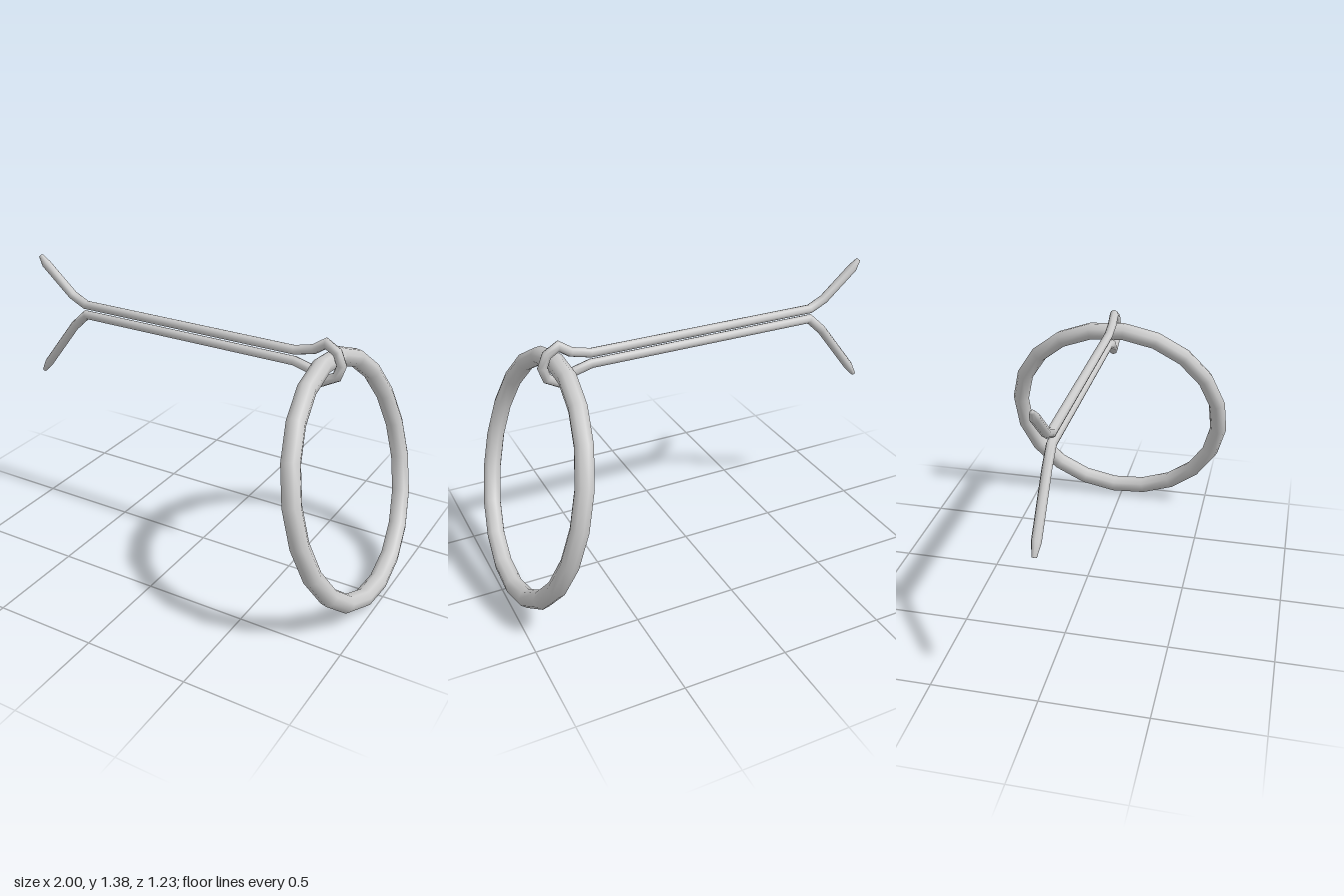
import * as THREE from 'three';

const SIDES = 8;

// Sweeps a round wire along a flat path of [x, y, radius], with mitred bends and closed ends.
function wireGeometry(path) {
  const pts = path.map(([x, y]) => new THREE.Vector2(x, y));
  const last = pts.length - 1;
  const pos = [], index = [];
  pts.forEach((p, i) => {
    const before = p.clone().sub(pts[Math.max(i - 1, 0)]).normalize();
    const after = pts[Math.min(i + 1, last)].clone().sub(p).normalize();
    const t = before.clone().add(after).normalize();
    const mitre = 1 / Math.max(t.dot(i < last ? after : before), 0.7);
    const r = path[i][2];
    for (let s = 0; s < SIDES; s++) {
      const a = (s / SIDES) * Math.PI * 2;
      const n = Math.cos(a) * r * mitre;
      pos.push(p.x - t.y * n, p.y + t.x * n, Math.sin(a) * r);
    }
  });
  const at = (i, s) => i * SIDES + (s % SIDES);
  const startCap = pts.length * SIDES, endCap = startCap + 1;
  pos.push(pts[0].x, pts[0].y, 0, pts[last].x, pts[last].y, 0);
  for (let s = 0; s < SIDES; s++) {
    for (let i = 0; i < last; i++) {
      index.push(at(i, s), at(i, s + 1), at(i + 1, s + 1));
      index.push(at(i, s), at(i + 1, s + 1), at(i + 1, s));
    }
    index.push(startCap, at(0, s + 1), at(0, s));
    index.push(endCap, at(last, s), at(last, s + 1));
  }
  const g = new THREE.BufferGeometry();
  g.setAttribute('position', new THREE.Float32BufferAttribute(pos, 3));
  g.setIndex(index);
  g.computeVertexNormals();
  return g;
}

export function createModel() {
  const model = new THREE.Group();
  model.name = 'splitPinWithRing';
  const material = new THREE.MeshStandardMaterial({ color: 0xcccccc });

  // Split pin: upper leg, eye around the ring, lower leg, both ends splayed and tapered
  const R = 0.023;
  const pin = new THREE.Mesh(wireGeometry([
    [-0.962, 1.383, 0.011], [-0.93, 1.345, R], [-0.77, 1.206, R], [-0.69, 1.168, R],
    [0.48, 1.168, R], [0.575, 1.192, R], [0.632, 1.231, R], [0.688, 1.198, R],
    [0.712, 1.14, R], [0.692, 1.082, R], [0.622, 1.044, R], [0.575, 1.09, R],
    [0.48, 1.115, R], [-0.69, 1.115, R], [-0.77, 1.04, R], [-0.955, 0.8, R],
    [-0.992, 0.747, 0.011],
  ]), material);
  pin.name = 'splitPin';
  model.add(pin);

  // Pull ring hanging from the eye, leaning outward at the bottom
  const ringGeometry = new THREE.TorusGeometry(0.57, 0.045, 8, 20);
  ringGeometry.rotateZ(THREE.MathUtils.degToRad(5));
  ringGeometry.rotateY(Math.PI / 2);
  ringGeometry.rotateZ(0.28);
  const ring = new THREE.Mesh(ringGeometry, material);
  ring.name = 'pullRing';
  ring.position.set(0.795, 0.594, 0);
  model.add(ring);

  return model;
}
